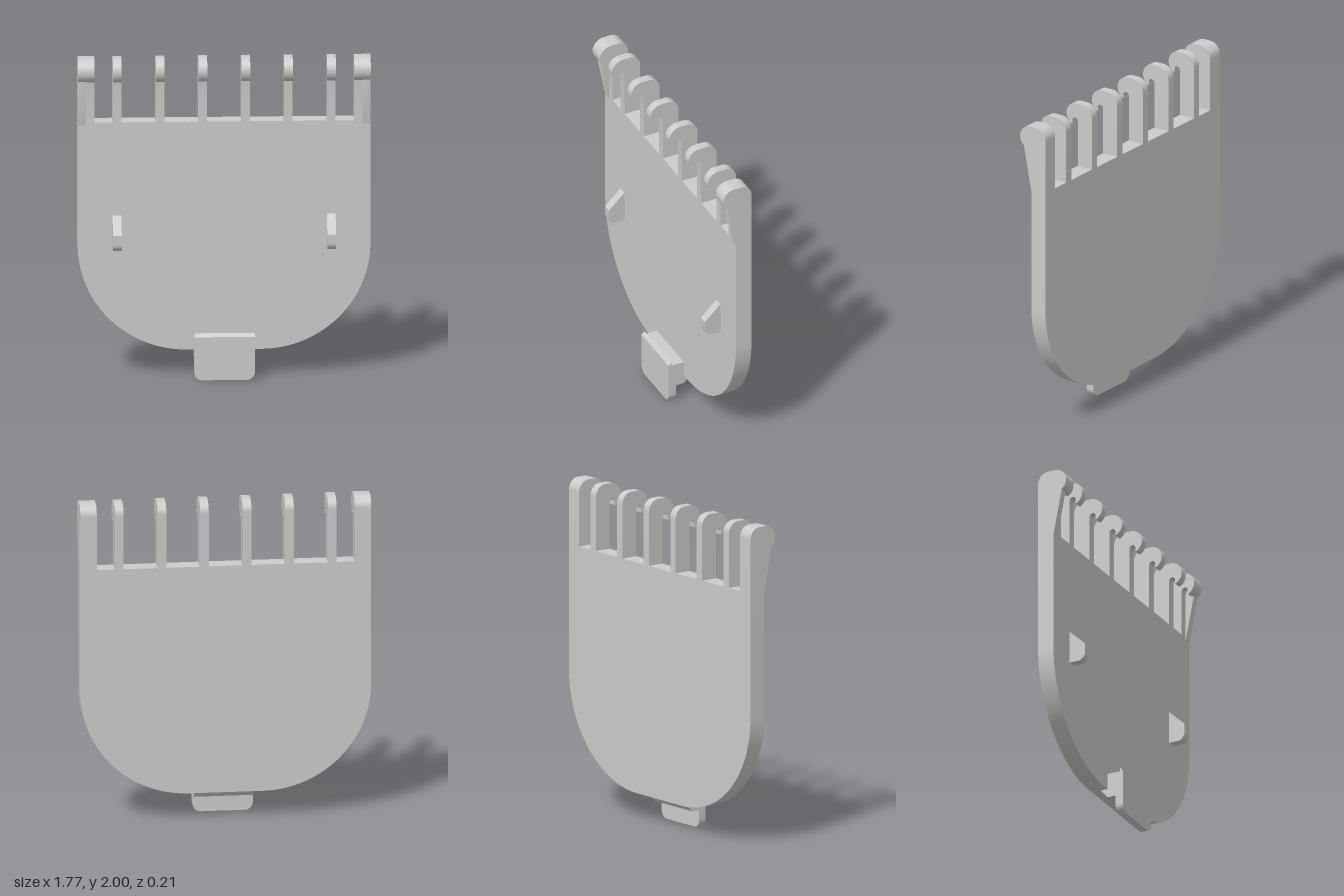
import * as THREE from 'three';
import { toCreasedNormals } from 'three/addons/utils/BufferGeometryUtils.js';

const material = new THREE.MeshStandardMaterial({ color: 0xcccccc });
const BACK = -0.105, TOP = 2, LEDGE = 1.595, HALF_W = 0.885;

function addMesh(group, name, geometry) {
  const mesh = new THREE.Mesh(toCreasedNormals(geometry, 0.35), material);
  mesh.name = name;
  group.add(mesh);
}

function extrude(shape, depth) {
  return new THREE.ExtrudeGeometry(shape, { depth, bevelEnabled: false, curveSegments: 24 });
}

// Extrudes a side profile drawn in (z, y) across x, centred on cx
function across(shape, width, cx) {
  return extrude(shape, width).rotateY(-Math.PI / 2).translate(cx + width / 2, 0, 0);
}

function polygon(points) {
  return new THREE.Shape(points.map(([x, y]) => new THREE.Vector2(x, y)));
}

// Panel outline with large rounded lower corners
function plateShape() {
  const r = 0.66, bottom = 0.165, s = new THREE.Shape();
  s.moveTo(-HALF_W, LEDGE);
  s.lineTo(-HALF_W, bottom + r);
  s.absarc(-HALF_W + r, bottom + r, r, Math.PI, Math.PI * 1.5, false);
  s.absarc(HALF_W - r, bottom + r, r, -Math.PI / 2, 0, false);
  s.lineTo(HALF_W, LEDGE);
  return s;
}

// Upright post whose round head curls forward over a small notch
function hookShape() {
  const s = new THREE.Shape();
  s.moveTo(BACK, LEDGE);
  s.lineTo(BACK, TOP - 0.07);
  s.absarc(BACK + 0.07, TOP - 0.07, 0.07, Math.PI, Math.PI / 2, true);
  s.absarc(0.01, TOP - 0.075, 0.075, Math.PI / 2, -Math.PI / 3, true);
  s.lineTo(0.04, 1.86);
  s.lineTo(0.04, 1.885);
  s.absarc(0.02, 1.885, 0.02, 0, Math.PI, false);
  s.lineTo(0, LEDGE);
  return s;
}

// Wedge-shaped catch with a rounded lower front edge
function catchShape() {
  const s = new THREE.Shape();
  s.moveTo(-0.01, 1.01);
  s.lineTo(0, 1.01);
  s.lineTo(0.105, 0.91);
  s.lineTo(0.105, 0.855);
  s.absarc(0.055, 0.855, 0.05, 0, -Math.PI / 2, true);
  s.lineTo(-0.01, 0.805);
  return s;
}

// Thumb tab with rounded lower corners
function tabShape(w, top, r) {
  const s = new THREE.Shape();
  s.moveTo(-w, top);
  s.lineTo(-w, r);
  s.absarc(-w + r, r, r, Math.PI, Math.PI * 1.5, false);
  s.absarc(w - r, r, r, -Math.PI / 2, 0, false);
  s.lineTo(w, top);
  return s;
}

export function createModel() {
  const model = new THREE.Group();
  model.name = 'combCover';

  addMesh(model, 'plate', extrude(plateShape(), -BACK).translate(0, 0, BACK));

  const web = polygon([[-0.01, 1.575], [0, 1.575], [0.055, 1.86], [0.045, 1.93], [-0.01, 1.93]]);
  for (const side of [-1, 1]) {
    // Slim hooks along the top edge
    for (const x of [0.13, 0.388, 0.648]) {
      addMesh(model, 'hook', across(hookShape(), 0.053, side * x));
    }
    // Wide end hooks, braced by a sloping web on the outer half
    addMesh(model, 'endHook', across(hookShape(), 0.1, side * (HALF_W - 0.05)));
    addMesh(model, 'endHookWeb', across(web, 0.049, side * (HALF_W - 0.0245)));
    // Catches on the front face
    addMesh(model, 'catch', across(catchShape(), 0.053, side * 0.648));
  }

  // Latch at the bottom: block with raised lip, and a tab hanging from it
  const block = polygon([
    [-0.045, 0.165], [0, 0.11], [0.105, 0.11], [0.105, 0.27],
    [0.085, 0.29], [0.085, 0.265], [-0.045, 0.265],
  ]);
  const latch = new THREE.Group();
  latch.name = 'latch';
  addMesh(latch, 'latchBlock', across(block, 0.366, 0));
  addMesh(latch, 'latchTab', extrude(tabShape(0.183, 0.11, 0.05), 0.05).translate(0, 0, 0.055));
  model.add(latch);

  return model;
}
